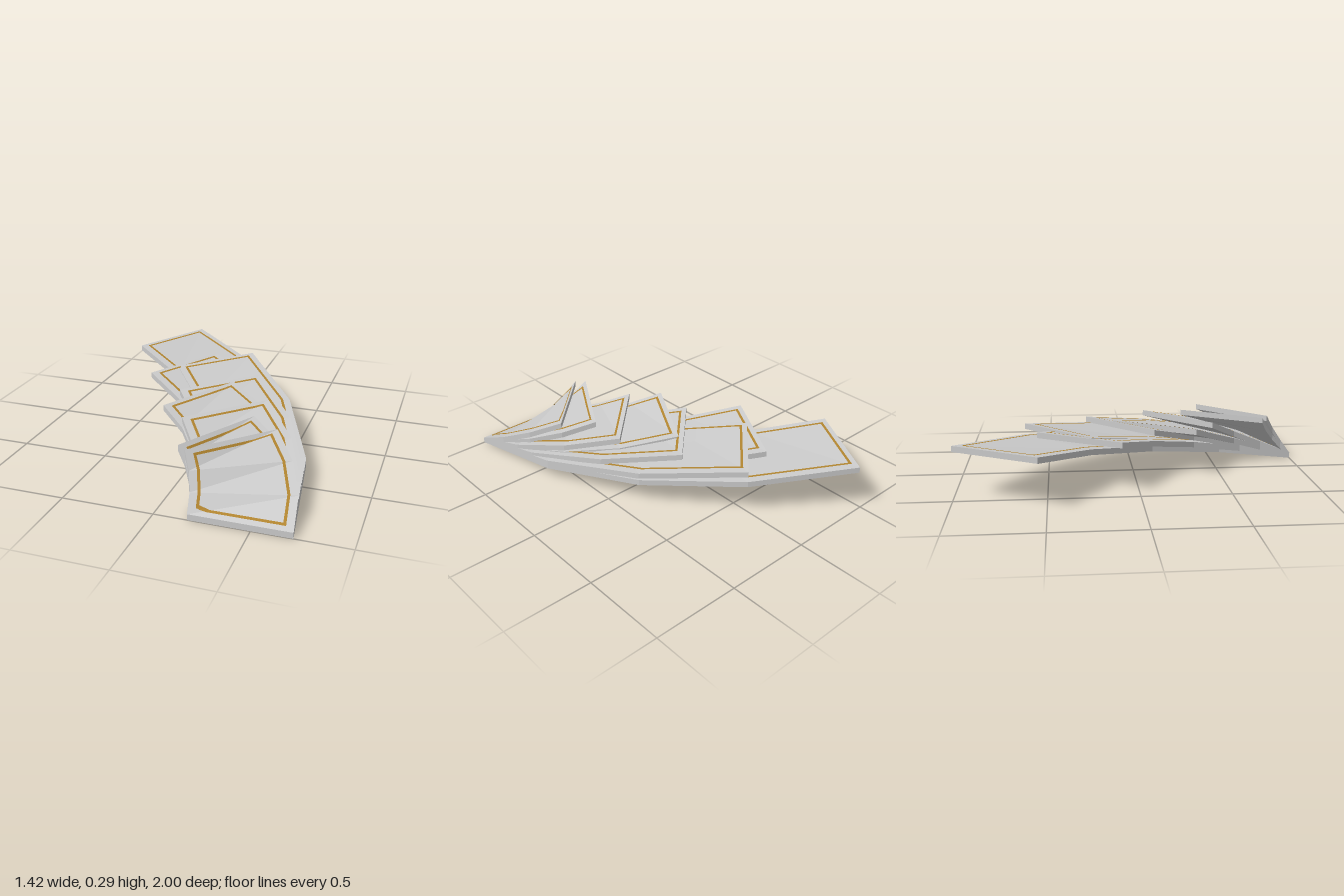
import * as THREE from 'three';

const START_X = 0.71, START_Z = 1, WIDTH = 0.531;   // shared front edge of all ramps
const RISE = 0.257, THICK = 0.033, STEP = Math.PI / 12;

const grey = new THREE.MeshStandardMaterial({ color: 0xcccccc, flatShading: true });
const gold = new THREE.MeshStandardMaterial({ color: 0xb08430, flatShading: true, side: THREE.DoubleSide });

function toGeometry(points, index) {
  const indexed = new THREE.BufferGeometry().setFromPoints(points);
  indexed.setIndex(index);
  const geometry = indexed.toNonIndexed();
  geometry.computeVertexNormals();
  return geometry;
}

// Point on the ramp's plan at a radius and at u (counted in segments), height y
function planPoint(outer, r, u, y) {
  const k = Math.floor(u), f = u - k;
  const at = a => new THREE.Vector3(START_X - outer + r * Math.cos(a), y, START_Z - r * Math.sin(a));
  return at(k * STEP).lerp(at((k + 1) * STEP), f);
}

// Rising curved slab made of straight segments
function slab(outer, segments) {
  const inner = outer - WIDTH, points = [], index = [];
  for (let k = 0; k <= segments; k++) {
    const y = RISE * k / segments;
    points.push(planPoint(outer, inner, k, y), planPoint(outer, outer, k, y),
      planPoint(outer, outer, k, y + THICK), planPoint(outer, inner, k, y + THICK));
  }
  for (let k = 0; k < segments; k++) {
    for (let j = 0; j < 4; j++) {
      const a = 4 * k + j, a1 = 4 * k + (j + 1) % 4, b = a + 4, b1 = a1 + 4;
      if (j === 2) index.push(a, b, a1, b, b1, a1);
      else index.push(a, b, b1, a, b1, a1);
    }
  }
  const e = 4 * segments;
  index.push(0, 1, 2, 0, 2, 3, e, e + 2, e + 1, e, e + 3, e + 2);
  return toGeometry(points, index);
}

// Closed line around the top face, inset from the sides and the ends
function insetLoop(outer, segments, sideInset, endInset) {
  const inner = outer - WIDTH, lo = inner + sideInset, hi = outer - sideInset;
  const rise = RISE / segments, sin = Math.sin(STEP);
  const endLength = r => endInset * Math.cos(Math.atan(rise / (r * sin)));
  const e0 = endLength(outer), e1 = endLength(inner), cuts = 8;
  const surface = (r, u) => {
    const k = Math.floor(u), f = u - k;
    const h = Math.max(f * r / outer, 1 - (1 - f) * r / inner);
    return planPoint(outer, r, u, THICK + rise * (k + h) + 0.004);
  };
  const points = [];
  for (let i = 0; i <= cuts; i++) {
    const r = lo + (hi - lo) * i / cuts;
    points.push(surface(r, e0 / (r * sin)));
  }
  for (let k = 1; k < segments; k++) points.push(surface(hi, k));
  for (let i = cuts; i >= 0; i--) {
    const r = lo + (hi - lo) * i / cuts;
    points.push(surface(r, segments - e1 / (r * sin)));
  }
  for (let k = segments - 1; k > 0; k--) points.push(surface(lo, k));
  return points;
}

// Thin band between two inset loops
function border(outer, segments) {
  const a = insetLoop(outer, segments, 0.04, 0.029);
  const b = insetLoop(outer, segments, 0.055, 0.043);
  const n = a.length, index = [];
  for (let i = 0; i < n; i++) {
    const j = (i + 1) % n;
    index.push(i, j, n + j, i, n + j, n + i);
  }
  return toGeometry([...a, ...b], index);
}

export function createModel() {
  const model = new THREE.Group();
  model.name = 'curvedRamps';
  // Four radii, each with a 45 degree and a 60 degree turn
  for (let i = 0; i < 4; i++) {
    const outer = 0.775 + 0.5115 * i;
    for (const segments of [3, 4]) {
      const ramp = new THREE.Group();
      ramp.name = `ramp radius ${i + 1} turn ${segments * 15}`;
      const deck = new THREE.Mesh(slab(outer, segments), grey);
      deck.name = 'rampSlab';
      const line = new THREE.Mesh(border(outer, segments), gold);
      line.name = 'goldBorder';
      ramp.add(deck, line);
      model.add(ramp);
    }
  }
  return model;
}
